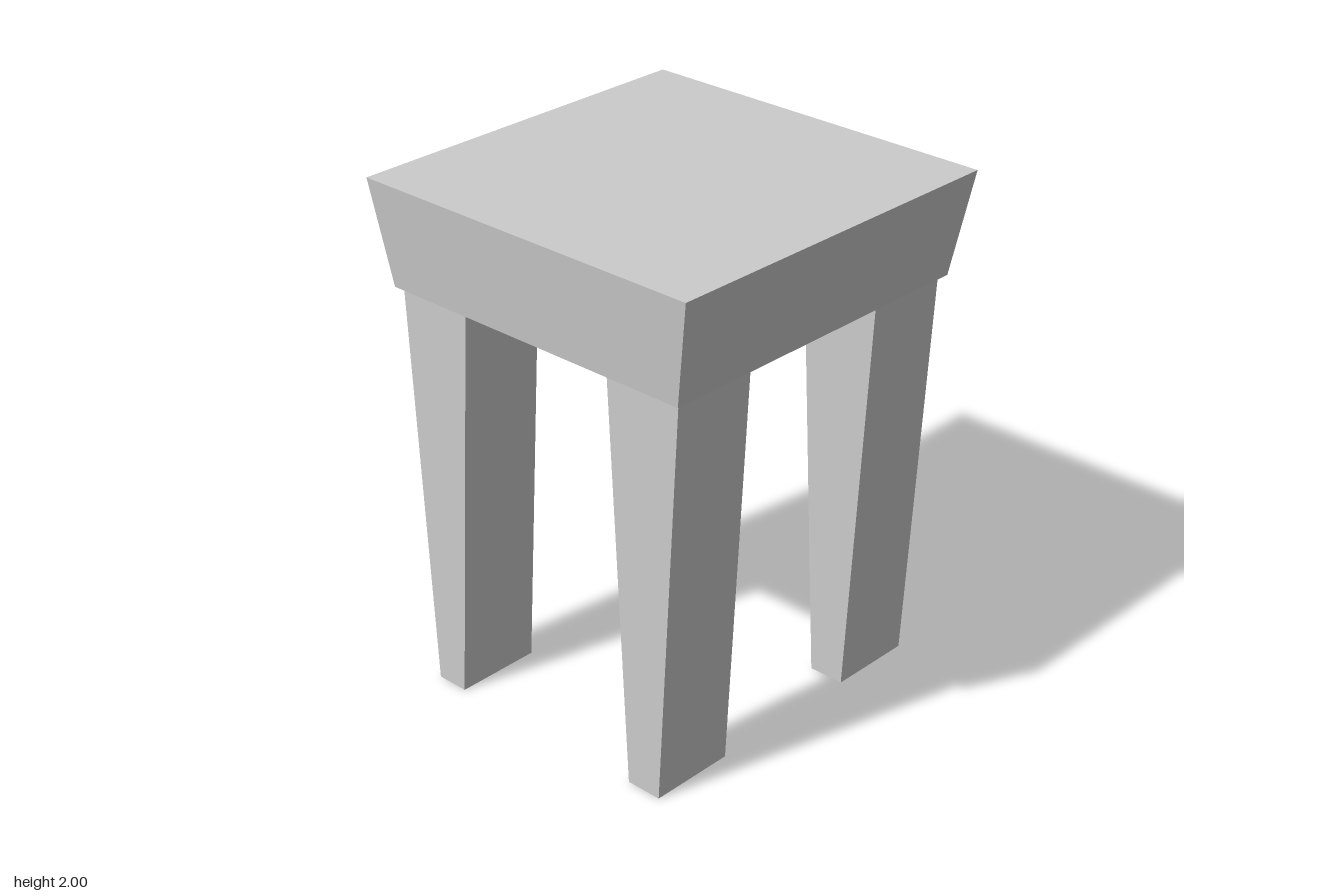
import * as THREE from 'three';

const material = new THREE.MeshStandardMaterial({ color: 0xcccccc, flatShading: true });

// Box between y0 and y1 whose rectangle [x0, x1, z0, z1] changes from bottom to top.
function taperedBox(name, y0, y1, bottom, top) {
  const geometry = new THREE.BoxGeometry(1, 1, 1);
  const p = geometry.attributes.position;
  for (let i = 0; i < p.count; i++) {
    const r = p.getY(i) > 0 ? top : bottom;
    p.setXYZ(i, p.getX(i) > 0 ? r[1] : r[0], p.getY(i) > 0 ? y1 : y0, p.getZ(i) > 0 ? r[3] : r[2]);
  }
  geometry.computeVertexNormals();
  const mesh = new THREE.Mesh(geometry, material);
  mesh.name = name;
  return mesh;
}

export function createModel() {
  const model = new THREE.Group();
  model.name = 'stool';
  const seatBottom = 1.595;

  // Thick seat, flaring toward the top
  model.add(taperedBox('seat', seatBottom, 2,
    [-0.678, 0.675, -0.699, 0.701], [-0.747, 0.747, -0.743, 0.743]));

  // Four legs, narrowing toward the floor across x only
  const sides = [
    { name: 'Left', bottom: [0.415, 0.56], top: [0.331, 0.653] },
    { name: 'Right', bottom: [-0.572, -0.44], top: [-0.662, -0.345] },
  ];
  const rows = [
    { name: 'front', z: [0.326, 0.674] },
    { name: 'back', z: [-0.674, -0.326] },
  ];
  for (const side of sides) {
    for (const row of rows) {
      model.add(taperedBox(`${row.name}${side.name}Leg`, 0, seatBottom,
        [...side.bottom, ...row.z], [...side.top, ...row.z]));
    }
  }
  return model;
}
